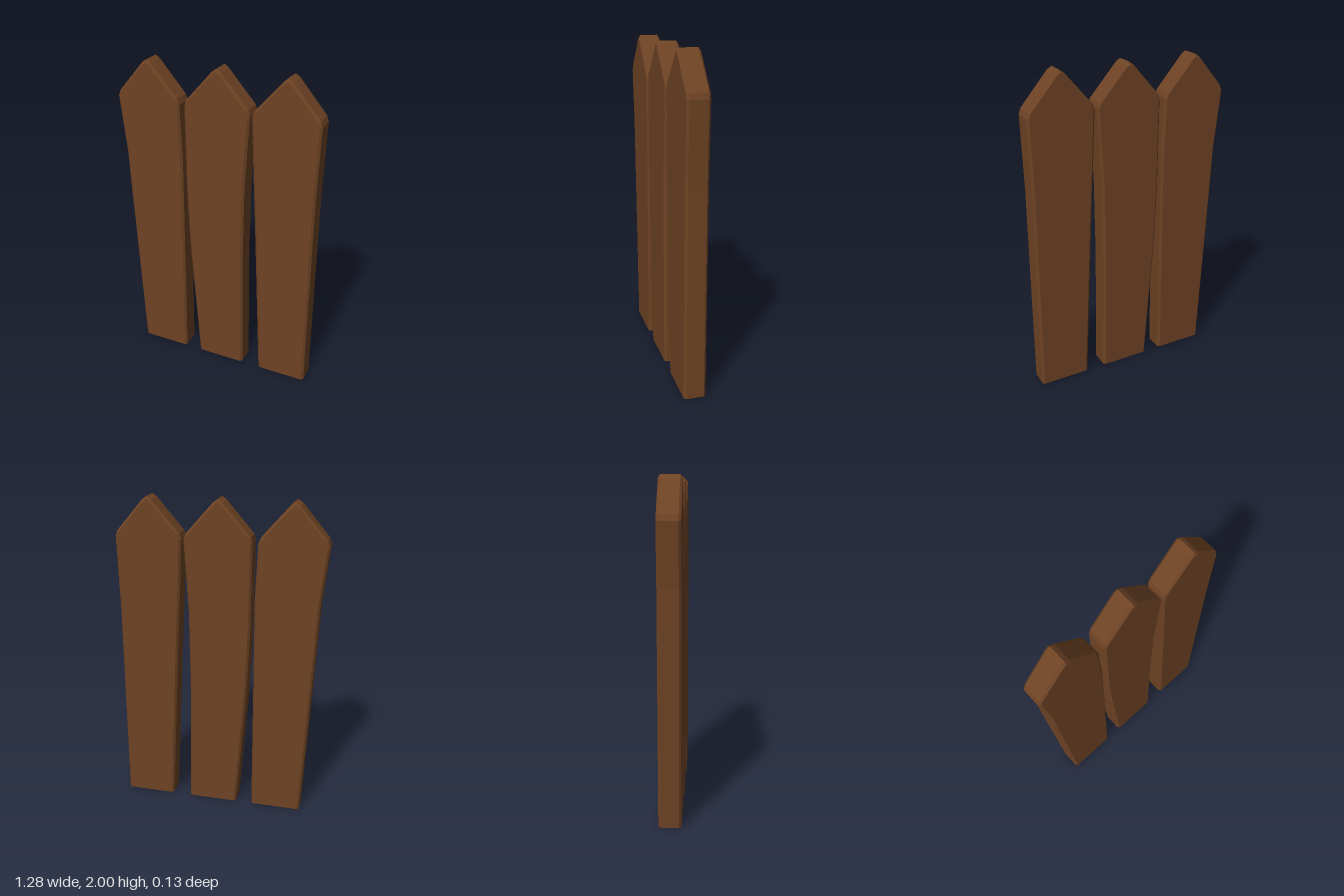
import * as THREE from 'three';
import { mergeGeometries } from 'three/addons/utils/BufferGeometryUtils.js';

const HALF = 0.067;   // half thickness of a plank
const BEVEL = 0.013;  // chamfer around the front and back faces

// Outlines run from the bottom left, over the point, to the bottom right.
const PLANKS = {
  rightPlank: [[-0.54, 0], [-0.595, 1.2], [-0.603, 1.4], [-0.64, 1.755], [-0.627, 1.79],
    [-0.465, 1.98], [-0.435, 2], [-0.408, 1.98], [-0.243, 1.79], [-0.23, 1.755], [-0.216, 1.4], [-0.22, 0]],
  middlePlank: [[-0.115, 0], [-0.175, 0.8], [-0.192, 1.2], [-0.197, 1.755], [-0.187, 1.79],
    [-0.02, 1.98], [0.008, 2], [0.036, 1.98], [0.204, 1.79], [0.215, 1.755], [0.19, 1.3], [0.187, 0.8], [0.2, 0]],
  leftPlank: [[0.318, 0], [0.262, 1.1], [0.245, 1.4], [0.227, 1.755], [0.24, 1.79],
    [0.404, 1.98], [0.432, 2], [0.46, 1.98], [0.624, 1.79], [0.636, 1.755], [0.628, 1.3], [0.636, 0]],
};

// Move an open outline inward by d, keeping its two feet on the ground.
function inset(points, d) {
  const normal = (a, b) => new THREE.Vector2(a[1] - b[1], b[0] - a[0]).normalize();
  return points.map((p, i) => {
    if (i === 0) return [p[0] + d, 0];
    if (i === points.length - 1) return [p[0] - d, 0];
    const n1 = normal(points[i - 1], p), n2 = normal(p, points[i + 1]);
    const m = n1.clone().add(n2).multiplyScalar(d / (1 + n1.dot(n2)));
    return [p[0] - m.x, p[1] - m.y];
  });
}

// Flat-shaded chamfers and edge wall; the underside stays open.
function rim(outer, inner) {
  const rings = [[inner, -HALF], [outer, -HALF + BEVEL], [outer, HALF - BEVEL], [inner, HALF]];
  const pos = [];
  for (let r = 0; r < 3; r++) {
    const [p, z0] = rings[r], [q, z1] = rings[r + 1];
    for (let i = 0; i < outer.length - 1; i++) {
      const a0 = [...p[i], z0], b0 = [...p[i + 1], z0];
      const a1 = [...q[i], z1], b1 = [...q[i + 1], z1];
      pos.push(...a0, ...a1, ...b1, ...a0, ...b1, ...b0);
    }
  }
  const g = new THREE.BufferGeometry();
  g.setAttribute('position', new THREE.Float32BufferAttribute(pos, 3));
  g.computeVertexNormals();
  return g;
}

// Flat face at z = HALF; side -1 turns it to the back.
function face(points, side) {
  const shape = new THREE.Shape(points.map(([x, y]) => new THREE.Vector2(x * side, y)));
  const g = new THREE.ShapeGeometry(shape).toNonIndexed();
  g.deleteAttribute('uv');
  g.translate(0, 0, HALF);
  if (side < 0) g.rotateY(Math.PI);
  return g;
}

export function createModel() {
  const group = new THREE.Group();
  group.name = 'picketFence';
  const wood = new THREE.MeshStandardMaterial({ color: 0x6e4324, side: THREE.DoubleSide });
  wood.name = 'brown wood';

  for (const [name, outer] of Object.entries(PLANKS)) {
    const inner = inset(outer, BEVEL);
    const plank = new THREE.Mesh(mergeGeometries([rim(outer, inner), face(inner, 1), face(inner, -1)]), wood);
    plank.name = name;
    group.add(plank);
  }
  return group;
}
